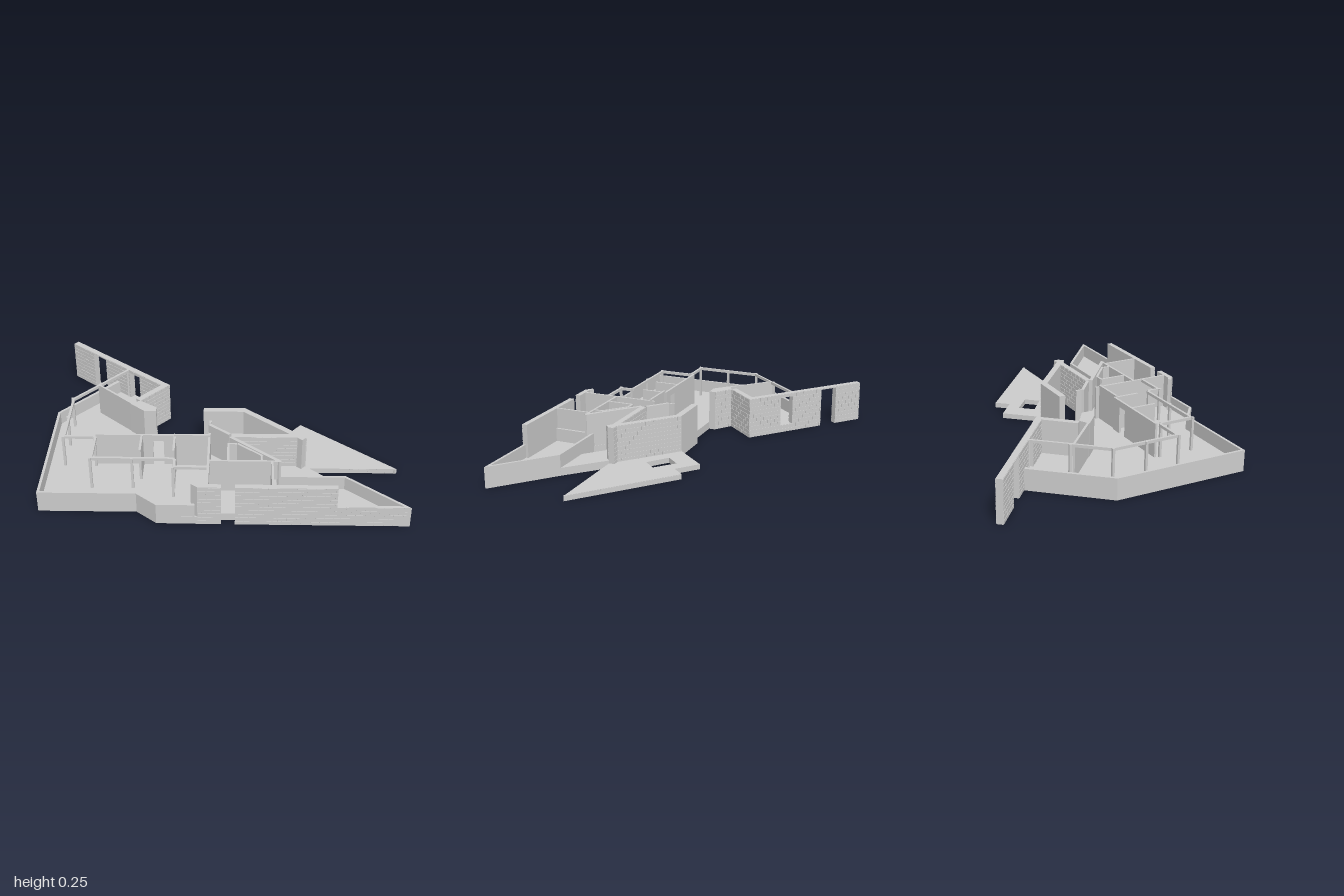
import * as THREE from 'three';
import { mergeGeometries } from 'three/addons/utils/BufferGeometryUtils.js';

const TOP = 0.243, FLOOR = 0.046, LOW = 0.123;

export function createModel() {
  const model = new THREE.Group();
  const material = new THREE.MeshStandardMaterial({ color: 0xcccccc });

  function add(name, geometry) {
    const mesh = new THREE.Mesh(geometry, material);
    mesh.name = name;
    model.add(mesh);
    return mesh;
  }

  // Plan polygon (x, z) raised from y0 to y1
  function prism(name, points, y0, y1, holes = []) {
    const toVectors = (list) => list.map(([x, z]) => new THREE.Vector2(x, z));
    const shape = new THREE.Shape(toVectors(points));
    for (const hole of holes) shape.holes.push(new THREE.Path(toVectors(hole)));
    const geometry = new THREE.ExtrudeGeometry(shape, { depth: y1 - y0, bevelEnabled: false });
    geometry.rotateX(Math.PI / 2).translate(0, y1, 0);
    return add(name, geometry);
  }

  // Staggered bricks covering a face of the given length and height
  function bricks(length, height, z) {
    const parts = [], course = 0.0243, pitch = 0.05, gap = 0.004, depth = 0.005;
    const rows = Math.max(1, Math.round(height / course)), h = height / rows;
    for (let r = 0; r < rows; r++) {
      for (let s = r % 2 ? -pitch / 2 : 0; s < length; s += pitch) {
        const from = Math.max(0, s), to = Math.min(length, s + pitch - gap);
        if (to - from < 0.004) continue;
        parts.push(new THREE.BoxGeometry(to - from, h - gap, depth)
          .translate((from + to) / 2, (r + 0.5) * h, z));
      }
    }
    return parts;
  }

  // Wall with its outer face on the line a-b; the thickness goes inwards
  function wall(name, a, b, thick, y0, y1, brick = 0) {
    const dx = b[0] - a[0], dz = b[1] - a[1], length = Math.hypot(dx, dz);
    const parts = [new THREE.BoxGeometry(length, y1 - y0, thick)
      .translate(length / 2, (y1 - y0) / 2, -thick / 2)];
    if (brick > 0) parts.push(...bricks(length, y1 - y0, 0));
    if (brick > 1) parts.push(...bricks(length, y1 - y0, -thick));
    const mesh = add(name, mergeGeometries(parts));
    mesh.position.set(a[0], y0, a[1]);
    mesh.rotation.y = -Math.atan2(dz, dx);
    return mesh;
  }

  // Top rail along a path, carried by slim posts
  function frame(name, path, spacing) {
    const w = 0.014;
    for (let i = 0; i + 1 < path.length; i++) {
      const [a, b] = [path[i], path[i + 1]];
      wall(name + 'Rail', a, b, w, TOP - 0.016, TOP);
      const n = Math.max(1, Math.round(Math.hypot(b[0] - a[0], b[1] - a[1]) / spacing));
      for (let k = 0; k <= n; k++) {
        if (k === 0 && i > 0) continue;
        const post = add(name + 'Post', new THREE.BoxGeometry(w, TOP - FLOOR, w));
        post.position.set(a[0] + (b[0] - a[0]) * k / n, (TOP + FLOOR) / 2, a[1] + (b[1] - a[1]) * k / n);
      }
    }
  }

  // Floor slab with the triangular court and a narrow slot
  prism('floorSlab', [[-1, -0.12], [-0.675, -0.5], [-0.36, -0.245], [-0.5, -0.07], [-0.4, 0],
    [-0.4, 0.038], [-0.075, 0.038], [-0.075, 0.165], [0.035, 0.26], [0.42, 0.26], [0.67, 0.49],
    [0.99, 0.76], [0.063, 0.76], [0.063, 0.725], [-0.01, 0.725], [-0.01, 0.76], [-0.355, 0.757],
    [-0.467, 0.663], [-1, 0.663]], 0, FLOOR, [
    [[0.045, 0.295], [0.205, 0.295], [0.425, 0.485], [0.28, 0.485]],
    [[-0.09, 0.3], [-0.077, 0.3], [-0.077, 0.56], [-0.09, 0.56]]]);

  // Low terrace with a square opening
  prism('gardenTerrace', [[0.115, 0], [0.27, -0.18], [0.393, -0.08], [0.45, -0.148], [0.975, 0.29],
    [0.455, 0.293]], 0, 0.03, [[[0.31, -0.055], [0.42, 0.04], [0.36, 0.11], [0.245, 0.02]]]);
  wall('terraceEdge', [0.46, 0.29], [0.96, 0.29], 0.01, 0, 0.03, 1);
  wall('terraceEdge', [0.97, 0.288], [0.452, -0.146], 0.01, 0, 0.03, 1);

  // Parapets
  prism('leftParapet', [[-0.675, -0.5], [-1, -0.12], [-1, 0.663], [-0.467, 0.663], [-0.355, 0.757],
    [-0.15, 0.757], [-0.15, 0.742], [-0.35, 0.742], [-0.462, 0.648], [-0.985, 0.648],
    [-0.985, -0.115], [-0.66, -0.485]], 0, LOW);
  prism('pointedParapet', [[0.27, 0.485], [0.665, 0.485], [0.99, 0.76], [0.27, 0.76]], 0, LOW,
    [[[0.285, 0.5], [0.66, 0.5], [0.95, 0.745], [0.285, 0.745]]]);
  wall('pointedParapetBricks', [0.6, 0.759], [0.97, 0.759], 0.008, 0, LOW, 1);

  // Front wall on both sides of the entrance
  wall('frontWall', [0.063, 0.76], [0.6, 0.76], 0.03, 0, TOP, 1);
  wall('entranceWall', [-0.135, 0.76], [-0.01, 0.76], 0.03, 0, TOP, 1);
  wall('entranceWallReturn', [-0.17, 0.73], [-0.135, 0.757], 0.02, 0, TOP);

  // Long slanted wall, cut by a window and a doorway
  const along = (t) => [-0.34 - 0.62 * t, -0.25 - 0.52 * t];
  const pieces = [[0, 0.27, 0, TOP], [0.27, 0.375, 0, FLOOR], [0.27, 0.375, 0.222, TOP],
    [0.375, 0.635, 0, TOP], [0.635, 0.77, 0.234, TOP], [0.77, 0.995, 0, TOP]];
  for (const [t0, t1, y0, y1] of pieces) wall('longWall', along(t0), along(t1), 0.035, y0, y1, 2);
  wall('longWallEnd', [-0.5, -0.07], [-0.34, -0.25], 0.035, 0, TOP, 1);
  prism('courtCornerWall', [[-0.5, -0.07], [-0.4, 0], [-0.4, 0.038], [-0.47, 0.038], [-0.557, -0.04]], 0, TOP);
  wall('courtCornerBricks', [-0.4, 0], [-0.5, -0.07], 0.01, 0, TOP, 1);

  // Walls around the triangular court
  wall('courtBackWall', [0.115, 0], [-0.125, 0], 0.038, 0, TOP);
  wall('courtSlantedWall', [0.455, 0.293], [0.115, 0], 0.035, 0, TOP, 1);
  wall('courtFrontWall', [0.04, 0.295], [0.458, 0.295], 0.033, 0, TOP, 2);
  wall('courtSideWall', [0.035, 0.26], [-0.08, 0.165], 0.018, 0, TOP);
  wall('courtSideWall', [-0.075, 0.165], [-0.075, 0.13], 0.012, 0, TOP);
  wall('innerSlantedWall', [0.31, 0.515], [0.04, 0.285], 0.02, FLOOR, TOP);

  // Inner partitions: start, end, top
  const partitions = [
    [[-0.72, 0.286], [-0.4, 0.286], TOP], [[-0.34, 0.286], [-0.275, 0.286], TOP],
    [[-0.28, 0.295], [-0.08, 0.295], 0.252],
    [[-0.455, 0.43], [-0.455, 0.28], TOP], [[-0.27, 0.43], [-0.27, 0.28], TOP],
    [[-0.077, 0.74], [-0.077, 0.26], TOP], [[-0.077, 0.525], [0.31, 0.525], TOP],
    [[0.268, 0.74], [0.268, 0.52], TOP], [[0.03, 0.52], [0.03, 0.355], TOP],
    [[0.025, 0.365], [0.07, 0.365], TOP], [[0.07, 0.362], [0.205, 0.475], TOP],
    [[0.21, 0.52], [0.21, 0.47], TOP], [[-0.767, -0.24], [-0.547, -0.035], TOP]];
  for (const [a, b, top] of partitions) wall('partition', a, b, 0.013, FLOOR, top);
  wall('doorLintel', [-0.4, 0.286], [-0.34, 0.286], 0.013, 0.205, TOP);

  // Glazing frames of the open fronts
  frame('glazing', [[-0.607, -0.43], [-0.9, -0.09], [-0.9, 0.305], [-0.725, 0.305], [-0.725, 0.508],
    [-0.272, 0.508], [-0.272, 0.583], [-0.083, 0.583]], 0.2);
  return model;
}
